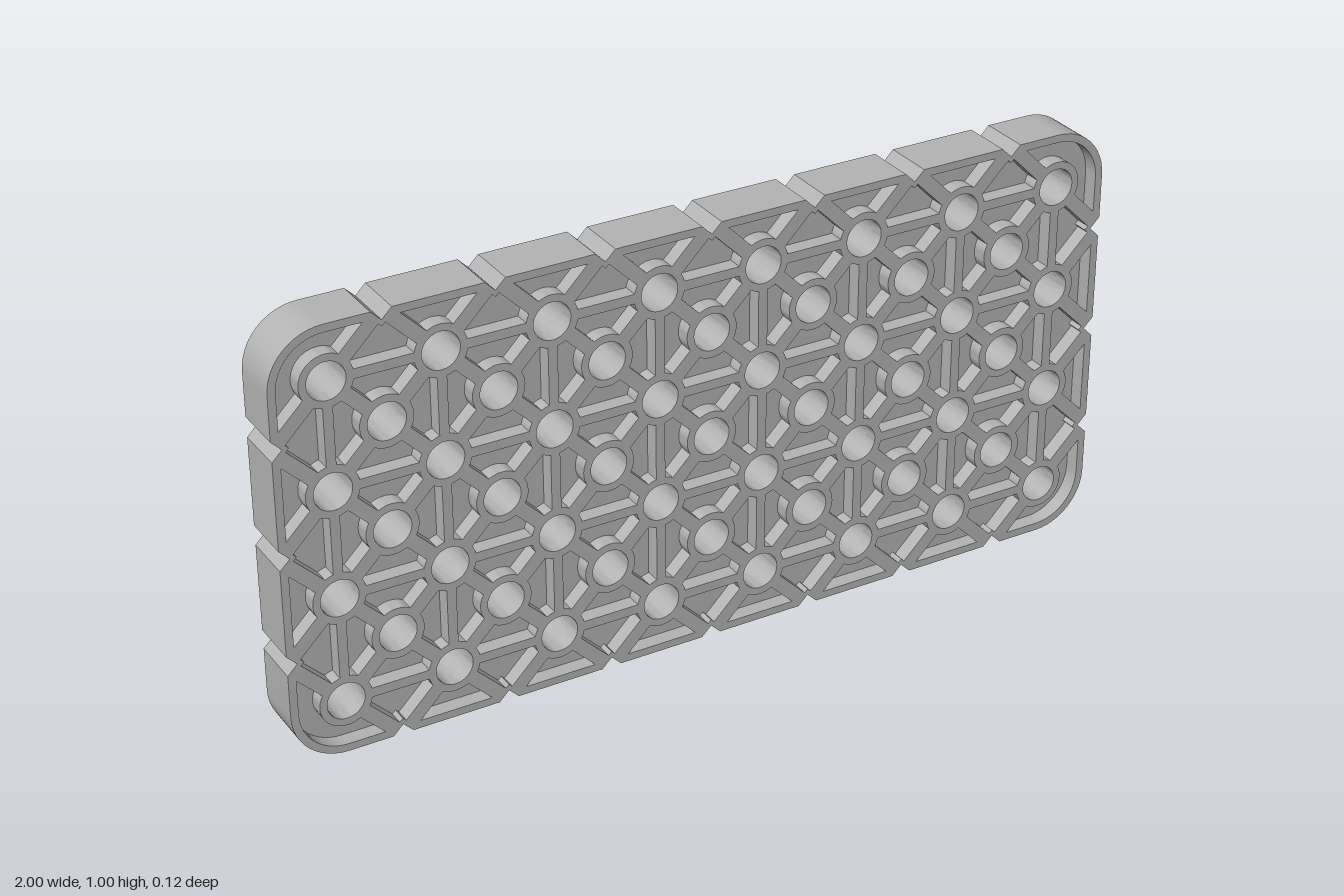
import * as THREE from 'three';
import { toCreasedNormals } from 'three/addons/utils/BufferGeometryUtils.js';

const DEPTH = 0.12, WEB = 0.048;      // full thickness, central sheet thickness
const HOLE_R = 0.043, BOSS_R = 0.06;
const CORNER_R = 0.125, PITCH = 0.25;
const RIM = 0.018, NOTCH = 0.023, NOTCH_WALL = 0.038;

// Rounded 2 x 1 outline moved inward by inset, with V notches of the given depth
function outline(inset, notchDepth) {
  const points = [];
  for (let side = 0; side < 4; side++) {
    const a = side % 2 ? 0.5 : 1, b = 1.5 - a;
    const turn = side * Math.PI / 2;
    const add = (u, v) => points.push(
      new THREE.Vector2(u, v).rotateAround(new THREE.Vector2(), turn).add(new THREE.Vector2(0, 0.5)));
    const half = notchDepth - inset;
    for (let u = -a + PITCH; u < a - 0.1; u += PITCH) {
      add(u - half, -b + inset);
      add(u, -b + notchDepth);
      add(u + half, -b + inset);
    }
    const r = CORNER_R - inset;
    for (let i = 0; i <= 12; i++) {
      const t = -Math.PI / 2 + i / 12 * Math.PI / 2;
      add(a - CORNER_R + r * Math.cos(t), -b + CORNER_R + r * Math.sin(t));
    }
  }
  return points;
}

function extrude(shape, depth) {
  const geometry = new THREE.ExtrudeGeometry(shape, { depth, bevelEnabled: false, curveSegments: 24 });
  geometry.translate(0, 0, -depth / 2);
  return toCreasedNormals(geometry, 0.5);
}

function circlePath(x, y, r) {
  return new THREE.Path().absarc(x, y, r, 0, Math.PI * 2, true);
}

export function createModel() {
  const model = new THREE.Group();
  model.name = 'latticePlate';
  const grey = new THREE.MeshStandardMaterial({ color: 0xb4b4b4 });
  grey.name = 'light grey';

  const add = (name, geometry, parent = model) => {
    const mesh = new THREE.Mesh(geometry, grey);
    mesh.name = name;
    parent.add(mesh);
    return mesh;
  };
  const group = (name) => {
    const g = new THREE.Group();
    g.name = name;
    model.add(g);
    return g;
  };

  // Two interleaved grids of holes
  const main = [], between = [];
  for (let row = 0; row < 4; row++)
    for (let col = 0; col < 8; col++) main.push([-0.875 + col * PITCH, 0.125 + row * PITCH]);
  for (let row = 0; row < 3; row++)
    for (let col = 0; col < 7; col++) between.push([-0.75 + col * PITCH, 0.25 + row * PITCH]);
  const holes = [...main, ...between];

  // Central sheet pierced by every hole
  const web = new THREE.Shape(outline(0, NOTCH));
  web.holes = holes.map(([x, y]) => circlePath(x, y, HOLE_R));
  add('web', extrude(web, WEB));

  // Notched outer rim
  const rim = new THREE.Shape(outline(0, NOTCH));
  rim.holes.push(new THREE.Path(outline(RIM, NOTCH_WALL)));
  add('rim', extrude(rim, DEPTH));

  // Tubular boss around each hole
  const ring = new THREE.Shape().absarc(0, 0, BOSS_R, 0, Math.PI * 2, false);
  ring.holes.push(circlePath(0, 0, HOLE_R));
  const bossGeometry = extrude(ring, DEPTH);
  const bosses = group('bosses');
  for (const [x, y] of holes) add('boss', bossGeometry, bosses).position.set(x, y, 0);

  // Ribs run from boss to boss, or from boss to an edge notch
  const ribs = group('ribs');
  const rib = (name, x, y, dx, dy, width, endGap) => {
    const length = Math.hypot(dx, dy), startGap = 0.053;
    const mid = (startGap + length - endGap) / 2 / length;
    const mesh = add(name, new THREE.BoxGeometry(length - startGap - endGap, width, DEPTH), ribs);
    mesh.position.set(x + dx * mid, y + dy * mid, 0);
    mesh.rotation.z = Math.atan2(dy, dx);
  };
  for (const [x, y] of main) {
    if (x < 0.8) rib('horizontalRib', x, y, PITCH, 0, 0.022, 0.053);
    if (y < 0.8) rib('verticalRib', x, y, 0, PITCH, 0.022, 0.053);
    for (const sx of [-1, 1]) for (const sy of [-1, 1]) {
      const dx = sx * PITCH / 2, dy = sy * PITCH / 2;
      const atSide = Math.abs(x + dx) > 0.99, atEnd = Math.abs(y + dy - 0.5) > 0.49;
      if (atSide && atEnd) continue;
      rib('diagonalRib', x, y, dx, dy, 0.032, atSide || atEnd ? 0.0163 : 0.053);
    }
  }
  return model;
}
